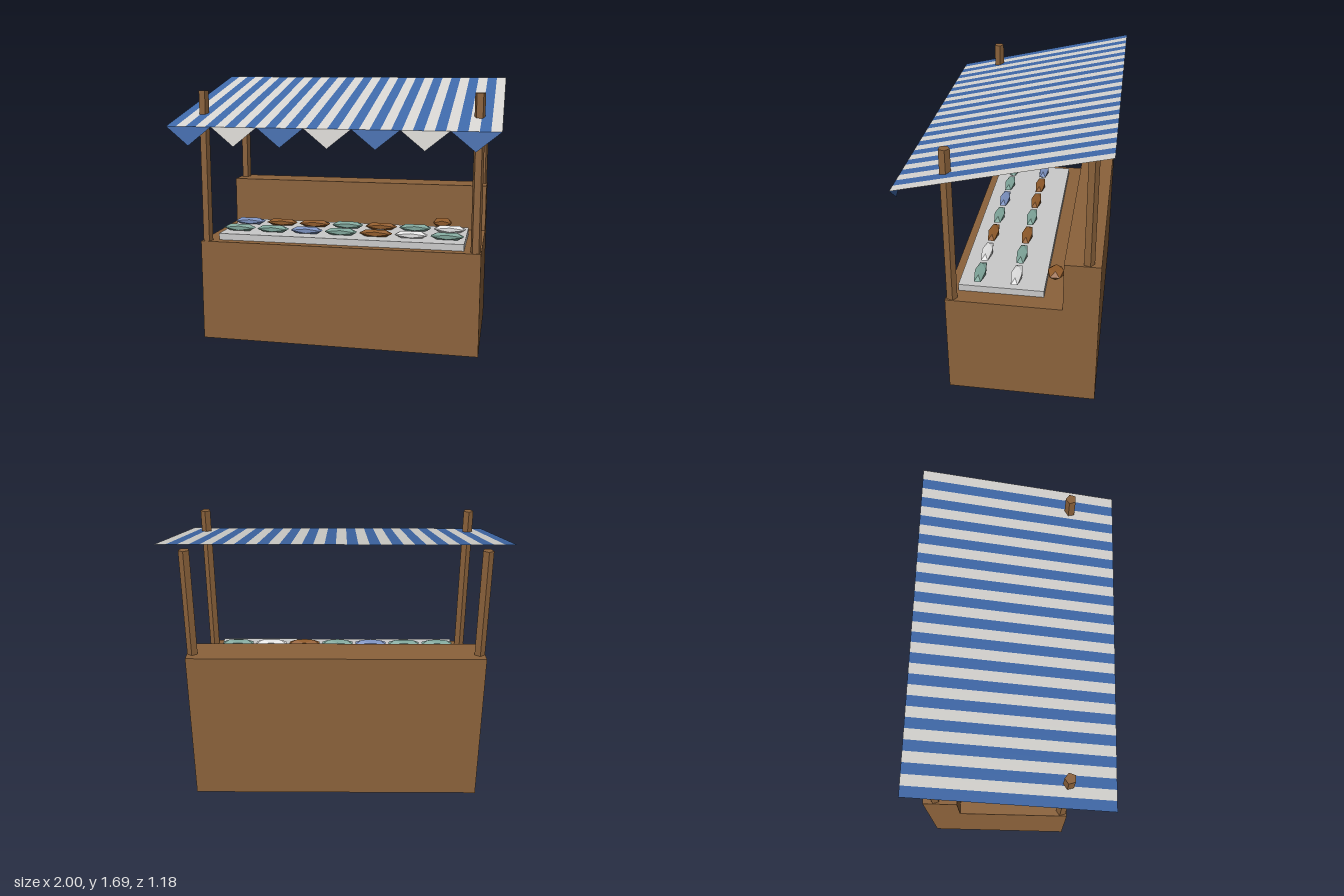
import * as THREE from 'three';
import { mergeGeometries } from 'three/addons/utils/BufferGeometryUtils.js';

const paint = (name, color, extra = {}) => {
  const m = new THREE.MeshStandardMaterial({ color, ...extra });
  m.name = name;
  return m;
};

// Flat polygon fan through a few 3D corners
function panel(...corners) {
  const g = new THREE.BufferGeometry();
  const pos = [];
  for (let i = 1; i < corners.length - 1; i++) pos.push(...corners[0], ...corners[i], ...corners[i + 1]);
  g.setAttribute('position', new THREE.Float32BufferAttribute(pos, 3));
  g.computeVertexNormals();
  return g;
}

export function createModel() {
  const group = new THREE.Group();
  group.name = 'marketStall';

  const wood = paint('wood', 0x8b623b, { flatShading: true });
  const ice = paint('trayGrey', 0xcacaca);
  const cloth = [
    paint('awningBlue', 0x3f69aa, { side: THREE.DoubleSide }),
    paint('awningWhite', 0xd8d6d2, { side: THREE.DoubleSide }),
  ];
  const fishPaint = {
    teal: paint('fishTeal', 0x7fa59a, { flatShading: true }),
    blue: paint('fishBlue', 0x7a8fbd, { flatShading: true }),
    brown: paint('fishBrown', 0x8f5a2a, { flatShading: true }),
    white: paint('fishWhite', 0xe2e2e2, { flatShading: true }),
  };

  const add = (name, geometry, material, x = 0, y = 0, z = 0) => {
    const mesh = new THREE.Mesh(geometry, material);
    mesh.name = name;
    mesh.position.set(x, y, z);
    group.add(mesh);
    return mesh;
  };

  // Counter: stepped side profile (z, y) extruded across the width
  const profile = new THREE.Shape([
    [-0.56, 0], [0.34, 0], [0.34, 0.655], [-0.35, 0.655], [-0.35, 0.965], [-0.56, 0.965],
  ].map(([z, y]) => new THREE.Vector2(z, y)));
  const counter = new THREE.ExtrudeGeometry(profile, { depth: 1.794, bevelEnabled: false });
  counter.translate(0, 0, -0.897).rotateY(-Math.PI / 2);
  add('counter', counter, wood);

  // Display tray
  add('tray', new THREE.BoxGeometry(1.586, 0.042, 0.51), ice, -0.002, 0.676, 0.025);

  // Five-sided posts, front pair passing through the awning
  for (const [name, z, base] of [['frontPost', 0.304, 0.655], ['backPost', -0.487, 0.965]]) {
    const height = 1.62 - base;
    const geo = new THREE.CylinderGeometry(0.033, 0.033, height, 5).rotateY(Math.PI);
    for (const x of [-0.863, 0.863]) add(name, geo, wood, x, base + height / 2, z);
  }

  // Awning: sloped sheet of alternating stripes
  const back = [1.69, -0.597], front = [1.415, 0.577];
  const stripes = [[], []];
  const count = 32;
  for (let i = 0; i < count; i++) {
    const a = -1 + (2 * i) / count, b = a + 2 / count;
    stripes[i % 2].push(panel([a, ...front], [b, ...front], [b, ...back], [a, ...back]));
  }
  stripes.forEach((s, i) => add(['awningBlueStripes', 'awningWhiteStripes'][i], mergeGeometries(s), cloth[i]));

  // Pennants along the front edge
  const flagWidth = 2 / 7;
  for (let i = 0; i < 7; i++) {
    const a = -1 + i * flagWidth;
    add('pennant', panel([a, ...front], [a + flagWidth / 2, 1.3, 0.588], [a + flagWidth, ...front]), cloth[i % 2]);
  }

  // Fish: stretched icosahedra in two rows, plus a loose one behind the tray
  const fishGeo = new THREE.IcosahedronGeometry(1 / 0.8507, 0);
  const fish = (color, x, y, z, sx, sy, sz) =>
    add('fish', fishGeo, fishPaint[color], x, y, z).scale.set(sx, sy, sz);
  const rows = [
    [0.168, ['teal', 'teal', 'blue', 'teal', 'brown', 'white', 'teal']],
    [-0.052, ['blue', 'brown', 'brown', 'teal', 'brown', 'teal', 'white']],
  ];
  for (const [z, colors] of rows) {
    colors.forEach((c, i) => fish(c, -0.69 + i * 0.228, 0.719, z, 0.103, 0.023, 0.033));
  }
  fish('brown', 0.61, 0.715, -0.28, 0.062, 0.031, 0.048);

  return group;
}
